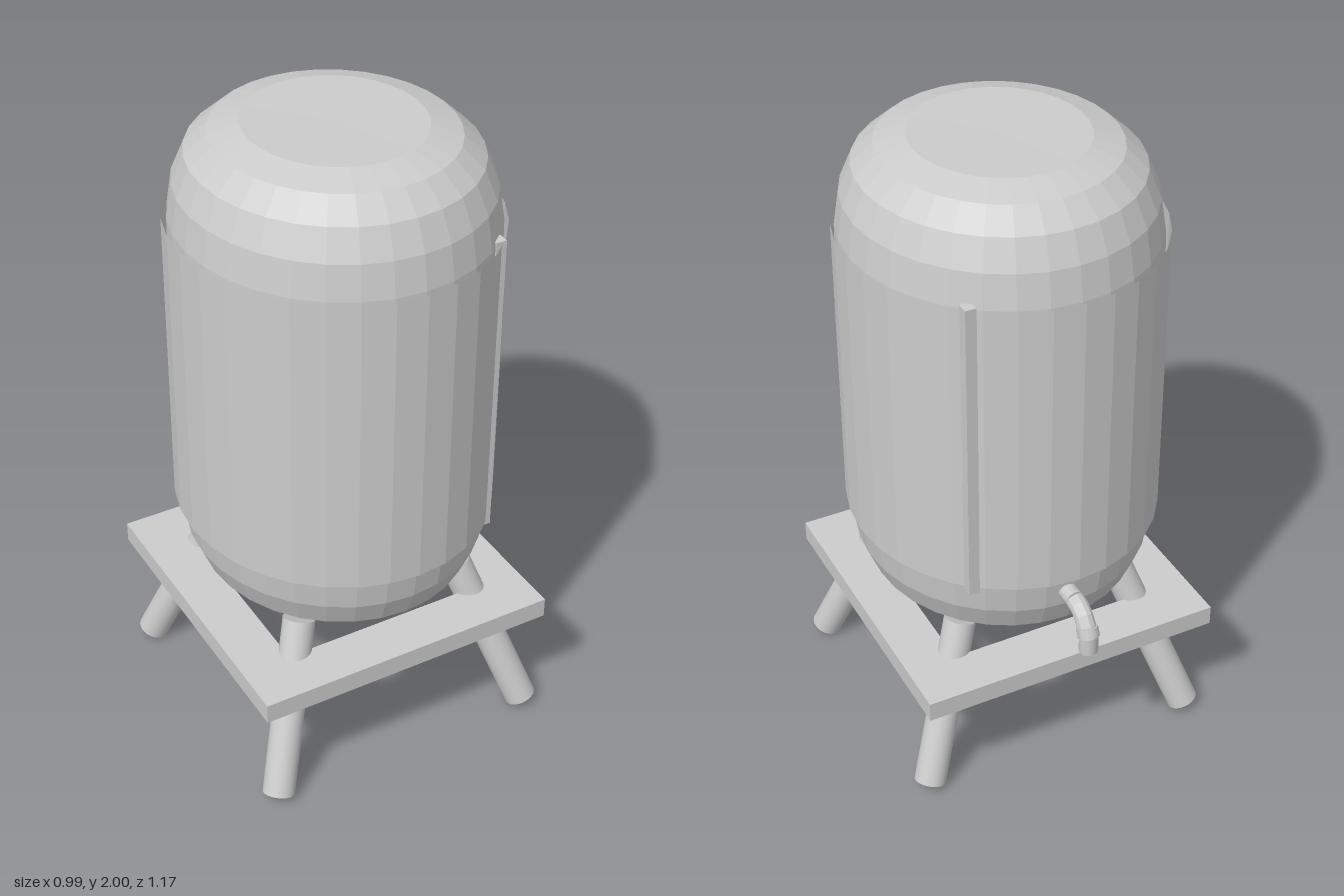
import * as THREE from 'three';

const flat = new THREE.MeshStandardMaterial({ color: 0xcccccc, flatShading: true });
const smooth = new THREE.MeshStandardMaterial({ color: 0xcccccc });
const thin = new THREE.MeshStandardMaterial({ color: 0xcccccc, flatShading: true, side: THREE.DoubleSide });
const CENTER_Z = 0.07;

export function createModel() {
  const model = new THREE.Group();
  const add = (name, geometry, material, x = 0, y = 0, z = 0) => {
    const mesh = new THREE.Mesh(geometry, material);
    mesh.name = name;
    mesh.position.set(x, y, z);
    model.add(mesh);
    return mesh;
  };
  // Round rod between two points
  const rod = (name, a, b, radius, sides, material) => {
    const dir = b.clone().sub(a);
    const mesh = add(name, new THREE.CylinderGeometry(radius, radius, dir.length(), sides), material);
    mesh.position.copy(a).lerp(b, 0.5);
    mesh.quaternion.setFromUnitVectors(new THREE.Vector3(0, 1, 0), dir.normalize());
    return mesh;
  };
  const v = (x, y, z) => new THREE.Vector3(x, y, z);

  // Slightly oval tank, the same rounded shoulder above and below its middle
  const shoulder = [[0, 0.759], [0.05, 0.76], [0.26, 0.7625], [0.35, 0.735], [0.415, 0.675], [0.452, 0.585], [0.468, 0.48], [0.471, 0.3]];
  const profile = [
    ...shoulder.map(([r, h]) => new THREE.Vector2(r, -h)),
    ...shoulder.slice().reverse().map(([r, h]) => new THREE.Vector2(r, h)),
  ];
  const tank = add('tank', new THREE.LatheGeometry(profile, 32), flat, 0, 1.2375, CENTER_Z);
  tank.scale.z = 1.065;

  // Thin jacket wrapped round the tank
  const jacket = add('jacket', new THREE.CylinderGeometry(0.481, 0.481, 0.96, 32, 1, true), thin, -0.004, 1.24, CENTER_Z + 0.003);
  jacket.scale.z = 1.073;

  // Upright seam strips on the jacket
  add('frontSeamStrip', new THREE.BoxGeometry(0.034, 0.985, 0.034), flat, 0.299, 1.24, 0.453);
  add('backSeamStrip', new THREE.BoxGeometry(0.034, 0.985, 0.038), flat, 0.295, 1.24, -0.329);

  // Square stand frame with an open middle
  const square = (half, Type) => new Type([
    new THREE.Vector2(-half, -half), new THREE.Vector2(half, -half),
    new THREE.Vector2(half, half), new THREE.Vector2(-half, half),
  ]);
  const outline = square(0.4875, THREE.Shape);
  outline.holes.push(square(0.33, THREE.Path));
  const frame = new THREE.ExtrudeGeometry(outline, { depth: 0.065, bevelEnabled: false });
  frame.rotateX(-Math.PI / 2);
  add('standFrame', frame, flat, -0.007, 0.375, CENTER_Z);

  // Splayed legs: top x, top z, foot x, foot z
  const legs = {
    frontLeftLeg: [0.275, 0.35, 0.443, 0.515],
    frontRightLeg: [-0.275, 0.35, -0.44, 0.515],
    backLeftLeg: [0.275, -0.2, 0.445, -0.32],
    backRightLeg: [-0.275, -0.2, -0.447, -0.36],
  };
  for (const [name, [tx, tz, fx, fz]] of Object.entries(legs)) {
    rod(name, v(fx, 0.022, fz), v(tx, 0.53, tz), 0.05, 20, smooth);
  }

  // Tap: pipe out of the tank, elbow, joint collar and spout
  const tapX = 0.022;
  rod('tapPipe', v(tapX, 0.708, -0.36), v(tapX, 0.708, -0.465), 0.029, 12, smooth);
  const elbow = new THREE.CatmullRomCurve3([
    v(tapX, 0.708, -0.465), v(tapX, 0.698, -0.502), v(tapX, 0.672, -0.531), v(tapX, 0.635, -0.548),
  ]);
  add('tapElbow', new THREE.TubeGeometry(elbow, 4, 0.029, 12), thin);
  rod('tapCollar', v(tapX, 0.662, -0.54), v(tapX, 0.632, -0.552), 0.033, 12, smooth);
  rod('tapSpout', v(tapX, 0.65, -0.552), v(tapX, 0.58, -0.552), 0.029, 12, smooth);

  return model;
}
